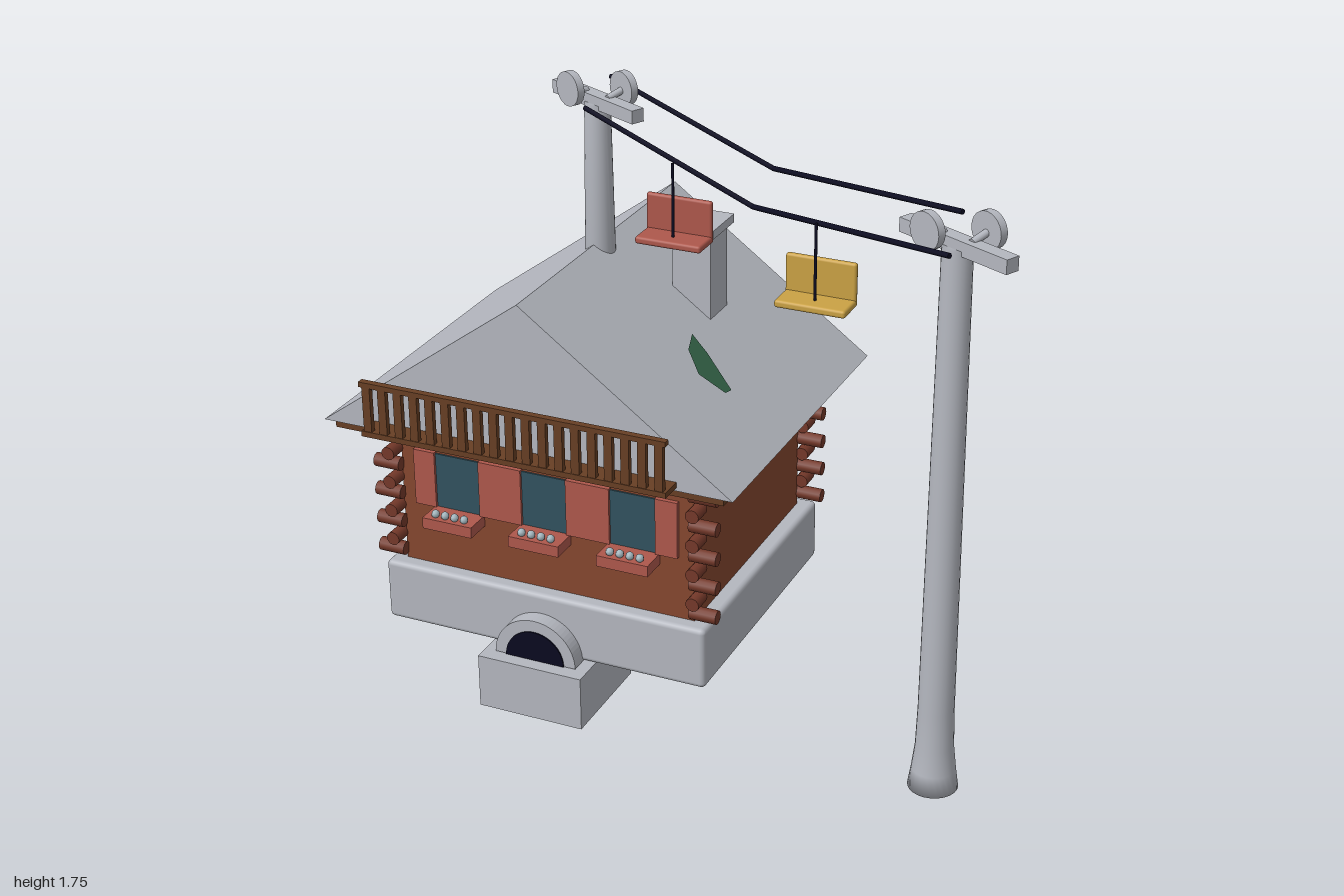
import * as THREE from 'three';
import { RoundedBoxGeometry } from 'three/addons/geometries/RoundedBoxGeometry.js';

const mat = (name, color) => {
  const m = new THREE.MeshStandardMaterial({ color });
  m.name = name;
  return m;
};

export function createModel() {
  const grey = mat('stoneGrey', 0xb4b7bf), wall = mat('wallBrown', 0x86472f), log = mat('logBrown', 0x75392a);
  const wood = mat('darkWood', 0x683f24), red = mat('brickRed', 0xae584c), glass = mat('glassBlue', 0x31525f);
  const yellow = mat('mustard', 0xcba244), navy = mat('cableNavy', 0x0a0a20);
  const green = mat('leafGreen', 0x325f45), pale = mat('flowerPale', 0xa3b6be);
  green.side = THREE.DoubleSide;

  const model = new THREE.Group();
  const CX = -0.385, CZ = -0.12; // centre of the house
  const add = (name, geo, m, parent = model) => {
    const mesh = new THREE.Mesh(geo, m);
    mesh.name = name;
    parent.add(mesh);
    return mesh;
  };
  // box given by its limits on each axis
  const box = (name, m, x0, x1, y0, y1, z0, z1, parent) => {
    const b = add(name, new THREE.BoxGeometry(x1 - x0, y1 - y0, z1 - z0), m, parent);
    b.position.set((x0 + x1) / 2, (y0 + y1) / 2, (z0 + z1) / 2);
    return b;
  };
  // round bar between two points
  const rod = (name, m, a, b, r, parent, sides = 12) => {
    const p = new THREE.Vector3(...a), q = new THREE.Vector3(...b), d = q.clone().sub(p);
    const c = add(name, new THREE.CylinderGeometry(r, r, d.length(), sides), m, parent);
    c.position.copy(p).add(q).multiplyScalar(0.5);
    c.quaternion.setFromUnitVectors(new THREE.Vector3(0, 1, 0), d.normalize());
    return c;
  };
  const extrude = (shape, depth) =>
    new THREE.ExtrudeGeometry(shape, { depth, bevelEnabled: false, curveSegments: 16 });
  // triangular prism, extruded along z
  const gable = (name, half, height, depth) => {
    const s = new THREE.Shape();
    s.moveTo(-half, 0);
    s.lineTo(half, 0);
    s.lineTo(0, height);
    return add(name, extrude(s, depth).translate(0, 0, -depth / 2), grey);
  };

  // foundation, walls and roof
  add('foundation', new RoundedBoxGeometry(0.995, 0.185, 0.835, 2, 0.015), grey).position.set(CX, 0.257, CZ);
  box('walls', wall, -0.835, 0.065, 0.35, 0.79, -0.495, 0.255);
  box('roofBoards', wood, -0.97, 0.2, 0.79, 0.812, -0.605, 0.37);
  gable('roof', 0.615, 0.45, 1).position.set(CX, 0.812, CZ);

  // crossing log ends, set just outside the four corners
  const logs = new THREE.Group();
  logs.name = 'cornerLogs';
  model.add(logs);
  for (const sx of [-1, 1]) for (const sz of [-1, 1]) {
    const x = CX + sx * 0.465, z = CZ + sz * 0.388;
    for (let i = 0; i < 5; i++) {
      const y = 0.385 + i * 0.09;
      rod('sideLog', log, [x - sx * 0.02, y, z], [x + sx * 0.06, y, z], 0.02, logs);
      if (i < 4) rod('frontLog', log, [x, y + 0.045, z - sz * 0.02], [x, y + 0.045, z + sz * 0.038], 0.02, logs);
    }
  }

  // front windows with shutters and flower boxes
  for (let i = -1; i <= 1; i++) {
    const x = CX + i * 0.27;
    box('windowPane', glass, x - 0.07, x + 0.07, 0.54, 0.705, 0.25, 0.26);
    for (const s of [-1, 1]) {
      const c = x + s * 0.102;
      box('shutter', red, c - 0.033, c + 0.033, 0.54, 0.71, 0.25, 0.268);
    }
    box('flowerBox', red, x - 0.077, x + 0.077, 0.505, 0.538, 0.25, 0.335);
    for (let k = 0; k < 4; k++) {
      const f = add('flower', new THREE.SphereGeometry(0.012, 8, 6), pale);
      f.position.set(x - 0.045 + k * 0.03, 0.547, 0.315);
    }
  }

  // balcony with balusters
  box('balconyFloor', wood, -0.84, 0.07, 0.822, 0.838, 0.25, 0.448);
  box('balconyTopRail', wood, -0.84, 0.07, 0.97, 0.985, 0.428, 0.448);
  for (let i = 0; i < 19; i++) {
    const x = -0.82 + i * 0.0483;
    box('baluster', wood, x - 0.012, x + 0.012, 0.835, 0.972, 0.43, 0.446);
  }

  // back door and side porch
  box('backDoor', wood, CX - 0.13, CX + 0.13, 0.34, 0.685, -0.52, -0.49);
  box('porchBody', wood, -0.92, -0.8, 0.165, 0.54, -0.46, -0.09);
  const porchRoof = gable('porchRoof', 0.245, 0.16, 0.13);
  porchRoof.rotation.y = Math.PI / 2;
  porchRoof.position.set(-0.895, 0.54, -0.27);

  // front block and tunnel arch
  box('frontBlock', grey, -0.545, -0.225, 0, 0.162, 0.06, 0.385);
  const arch = new THREE.Shape();
  arch.absarc(0, 0, 0.125, 0, Math.PI, false);
  arch.absarc(0, 0, 0.09, Math.PI, 0, true);
  add('tunnelArch', extrude(arch, 0.07), grey).position.set(CX, 0.165, 0.275);
  const opening = new THREE.Shape();
  opening.absarc(0, 0, 0.09, 0, Math.PI, false);
  add('tunnelOpening', extrude(opening, 0.05), navy).position.set(CX, 0.165, 0.299);

  // chimney
  box('chimney', grey, -0.2, -0.085, 0.98, 1.29, -0.31, -0.195);
  box('chimneyCap', grey, -0.215, -0.07, 1.29, 1.315, -0.325, -0.18);

  // leafy patch lying on the right roof slope
  const patch = new THREE.ShapeGeometry(new THREE.Shape(
    [[-0.085, -0.07], [-0.03, -0.05], [0.065, 0.005], [0.06, 0.035], [-0.01, 0.055], [-0.065, 0]]
      .map(p => new THREE.Vector2(...p))));
  const pp = patch.attributes.position;
  for (let i = 0; i < pp.count; i++) {
    const x = pp.getX(i), z = pp.getY(i);
    pp.setXYZ(i, x, 1.27 - (x - CX) * 0.732, z);
  }
  patch.computeVertexNormals();
  add('roofLeaves', patch, green);

  // ragged greenery and a rock under the foundation
  const under = new THREE.CylinderGeometry(0.285, 0.2, 0.035, 22, 1).toNonIndexed();
  const up = under.attributes.position;
  for (let i = 0; i < up.count; i++) {
    const a = Math.atan2(up.getZ(i), up.getX(i)), k = 1 + 0.08 * Math.sin(a * 7);
    up.setX(i, up.getX(i) * k);
    up.setZ(i, up.getZ(i) * k * 0.88);
  }
  under.computeVertexNormals();
  add('underLeaves', under, green).position.set(CX, 0.156, -0.15);
  const rock = add('underRock', new THREE.SphereGeometry(0.19, 18, 10), grey);
  rock.scale.set(1, 0.11, 0.8);
  rock.position.set(CX, 0.152, -0.15);

  // lift masts with crossbars and wheels
  const mast = (name, x, z, profile) => {
    const g = new THREE.Group();
    g.name = name;
    g.position.set(x, 0, z);
    model.add(g);
    add('pole', new THREE.LatheGeometry(profile.map(p => new THREE.Vector2(...p)), 24), grey, g);
    const head = new THREE.Group();
    head.name = 'mastHead';
    head.rotation.y = -0.46;
    g.add(head);
    box('crossbar', grey, -0.175, 0.175, 1.648, 1.685, -0.02, 0.02, head);
    for (const s of [-1, 1]) {
      const wx = s * 0.045, wz = -s * 0.056;
      rod('wheel', grey, [wx, 1.7, wz - 0.011], [wx, 1.7, wz + 0.011], 0.048, head, 24);
      rod('axle', grey, [wx, 1.682, 0], [wx, 1.697, wz], 0.01, head);
    }
  };
  mast('roofMast', CX, CZ, [[0, 1.15], [0.044, 1.15], [0.036, 1.66], [0, 1.66]]);
  mast('groundMast', 0.835, 0.474,
    [[0, 0.165], [0.066, 0.165], [0.058, 0.22], [0.05, 0.29], [0.047, 0.4], [0.038, 1.66], [0, 1.66]]);

  // sagging cables
  for (const [x0, z0, x1, z1] of [[-0.41, -0.255, 0.8, 0.335], [-0.355, 0.015, 0.86, 0.61]]) {
    const mid = [(x0 + x1) / 2, 1.61, (z0 + z1) / 2];
    rod('cable', navy, [x0, 1.69, z0], mid, 0.007, model, 8);
    rod('cable', navy, mid, [x1, 1.69, z1], 0.007, model, 8);
  }

  // hanging chairs
  const chair = (name, m, x, z) => {
    const g = new THREE.Group();
    g.name = name;
    g.position.set(x, 0, z);
    model.add(g);
    const part = (n, h, d, y, pz) =>
      add(n, new RoundedBoxGeometry(0.185, h, d, 2, 0.007), m, g).position.set(0, y, pz);
    part('seat', 0.02, 0.09, 1.435, 0);
    part('backrest', 0.115, 0.016, 1.483, -0.037);
    rod('hanger', navy, [0, 1.44, 0.006], [0, 1.645, 0.006], 0.004, g, 8);
  };
  chair('redChair', red, -0.018, 0.191);
  chair('yellowChair', yellow, 0.468, 0.43);

  return model;
}
